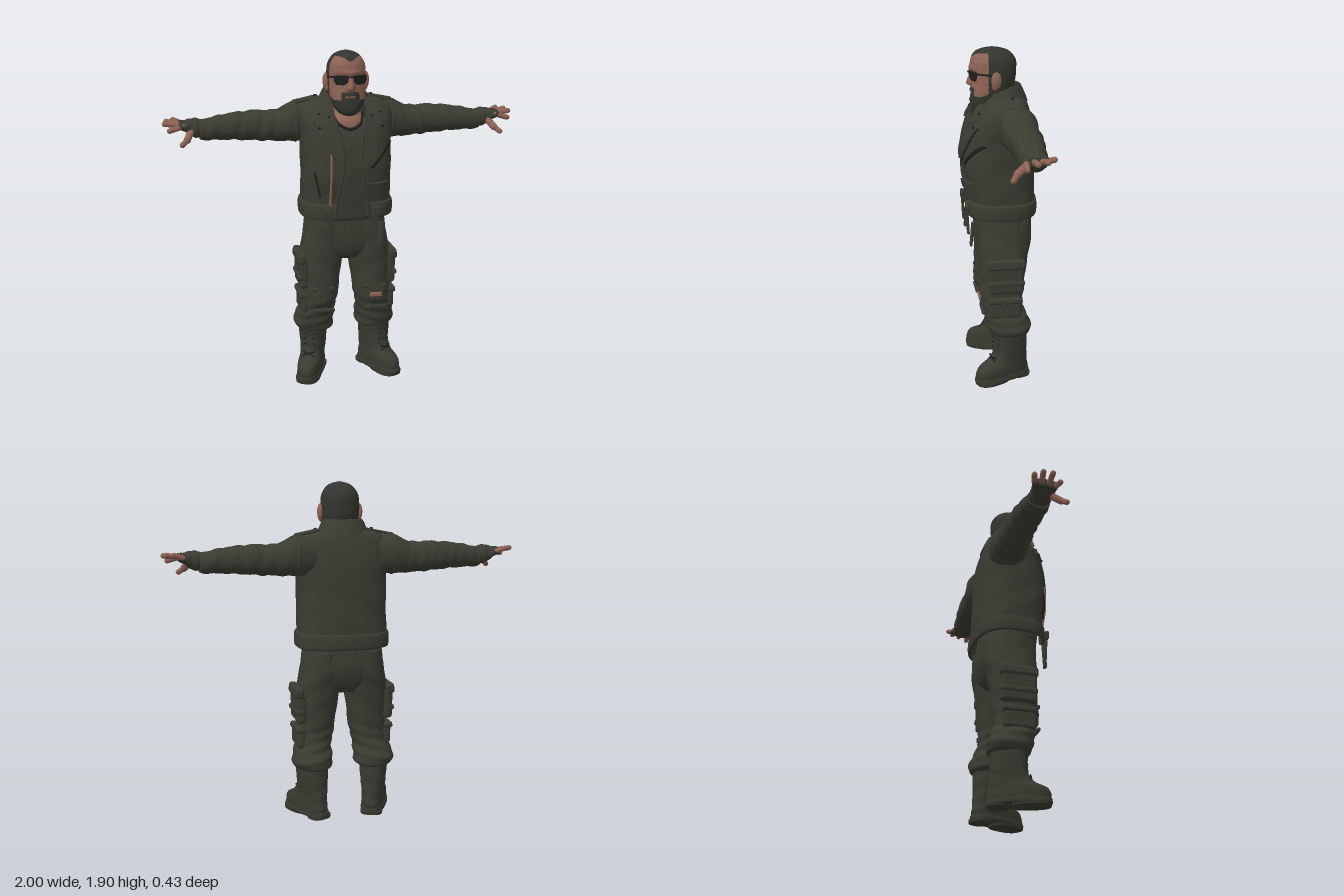
import * as THREE from 'three';
import { mergeGeometries, mergeVertices } from 'three/addons/utils/BufferGeometryUtils.js';
import { RoundedBoxGeometry } from 'three/addons/geometries/RoundedBoxGeometry.js';

const mat = (name, color, side = THREE.FrontSide) => {
  const m = new THREE.MeshStandardMaterial({ color, side });
  m.name = name;
  return m;
};
const V = (x, y, z) => new THREE.Vector3(x, y, z);
const spow = (v, p) => Math.sign(v) * Math.abs(v) ** p;
const bell = (v, w) => Math.exp(-((v / w) ** 2));

// Smooth skin through rows [t, centreU, centreV, radiusU, radiusV, frontGap]
function loft(rows, { axis = 'y', seg = 40, sub = 6, p = 0.9, fold, warp, pick, caps = true } = {}) {
  const open = rows[0].length > 5, cols = open ? seg + 1 : seg;
  const pos = [], buckets = [[], []];
  const n = (rows.length - 1) * sub;
  const put = (t, u, v) => {
    const q = axis === 'y' ? V(u, t, v) : V(t, v, u);
    if (warp) warp(q);
    pos.push(q.x, q.y, q.z);
  };
  const at = (i) => {
    const k = Math.min(Math.floor(i / sub), rows.length - 2), f = i / sub - k;
    const g = (j) => rows[Math.max(0, Math.min(rows.length - 1, j))];
    return rows[0].map((_, c) => {
      const a = g(k - 1)[c], b = g(k)[c], d = g(k + 1)[c], e = g(k + 2)[c];
      return b + 0.5 * f * (d - a + f * (2 * a - 5 * b + 4 * d - e + f * (3 * (b - d) + e - a)));
    });
  };
  for (let i = 0; i <= n; i++) {
    const [t, cu, cv, ru, rv, gap = 0] = at(i);
    const h = open ? Math.PI / 2 - Math.acos(Math.min(0.99, (gap / ru) ** (1 / p))) : 0;
    for (let j = 0; j < cols; j++) {
      const a = Math.PI / 2 + h + (j / seg) * (2 * Math.PI - 2 * h);
      const k = 1 + (fold ? fold(t, a) : 0);
      put(t, cu + k * ru * spow(Math.cos(a), p), cv + k * rv * spow(Math.sin(a), p));
    }
  }
  const tri = (...f) => {
    const c = V(0, 0, 0);
    f.forEach((i) => c.add(V(pos[3 * i], pos[3 * i + 1], pos[3 * i + 2])));
    buckets[pick && pick(c.divideScalar(3)) ? 1 : 0].push(...f);
  };
  for (let i = 0; i < n; i++) for (let j = 0; j < seg; j++) {
    const a = i * cols + j, b = i * cols + (j + 1) % cols, c = a + cols, d = b + cols;
    tri(a, c, b);
    tri(b, c, d);
  }
  if (caps && !open) [0, n].forEach((i) => {
    const [t, cu, cv] = at(i), m = pos.length / 3;
    put(t, cu, cv);
    for (let j = 0; j < seg; j++) {
      const a = i * cols + j, b = i * cols + (j + 1) % cols;
      i ? tri(m, b, a) : tri(m, a, b);
    }
  });
  const g = new THREE.BufferGeometry();
  g.setAttribute('position', new THREE.Float32BufferAttribute(pos, 3));
  g.setIndex([...buckets[0], ...buckets[1]]);
  if (pick) {
    g.addGroup(0, buckets[0].length, 0);
    g.addGroup(buckets[0].length, buckets[1].length, 1);
  }
  g.computeVertexNormals();
  return g;
}

// Small shapes
const capsule = (a, b, r) => {
  const d = b.clone().sub(a), g = new THREE.CapsuleGeometry(r, d.length(), 4, 10);
  g.applyQuaternion(new THREE.Quaternion().setFromUnitVectors(V(0, 1, 0), d.normalize()));
  const c = a.clone().add(b).multiplyScalar(0.5);
  return g.translate(c.x, c.y, c.z);
};
const block = (w, h, d, x, y, z, rx = 0, ry = 0, rz = 0) =>
  new RoundedBoxGeometry(w, h, d, 2, Math.min(w, h, d) * 0.35)
    .applyMatrix4(new THREE.Matrix4().makeRotationFromEuler(new THREE.Euler(rx, ry, rz))).translate(x, y, z);
const ball = (x, y, z, rx, ry, rz) => new THREE.SphereGeometry(1, 20, 14).scale(rx, ry, rz).translate(x, y, z);
const tube = (pts, r) => new THREE.TubeGeometry(new THREE.CatmullRomCurve3(pts), 30, r, 8);
const flip = (geo) => {
  const g = geo.index ? geo.clone() : mergeVertices(geo), ix = g.index.array;
  g.scale(-1, 1, 1);
  for (let i = 0; i < ix.length; i += 3) [ix[i], ix[i + 1]] = [ix[i + 1], ix[i]];
  return g;
};

// Jacket body and the front surface that trims are laid on
const JP = 0.72;
const jacket = [
  [0.99, 0, -0.01, 0.25, 0.185, 0.095], [1.08, 0, -0.012, 0.25, 0.188, 0.085], [1.2, 0, 0, 0.25, 0.197, 0.065],
  [1.32, 0, 0.002, 0.25, 0.195, 0.05], [1.43, 0, -0.007, 0.255, 0.183, 0.06], [1.52, 0, -0.015, 0.262, 0.163, 0.085],
  [1.58, 0, -0.027, 0.258, 0.137, 0.09], [1.615, 0, -0.035, 0.225, 0.115, 0.09], [1.645, 0, -0.03, 0.12, 0.09, 0.09]];
const frontZ = (x, y) => {
  let i = 0;
  while (i < jacket.length - 2 && jacket[i + 1][0] < y) i++;
  const f = (y - jacket[i][0]) / (jacket[i + 1][0] - jacket[i][0]);
  const [, , cz, rx, rz] = jacket[i].map((v, c) => v + f * (jacket[i + 1][c] - v));
  const c = Math.min(1, Math.abs(x) / rx) ** (1 / JP);
  return cz + rz * Math.sqrt(1 - c * c) ** JP;
};
// Four-cornered panel draped over the jacket front
const drape = (c, thick, off = 0) => {
  const g = new THREE.BoxGeometry(1, 1, 1, 8, 8, 1), P = g.attributes.position;
  for (let i = 0; i < P.count; i++) {
    const u = P.getX(i) + 0.5, v = P.getY(i) + 0.5, w = P.getZ(i) + 0.5;
    const mix = (k) => (1 - v) * ((1 - u) * c[0][k] + u * c[1][k]) + v * ((1 - u) * c[3][k] + u * c[2][k]);
    P.setXYZ(i, mix(0), mix(1), frontZ(mix(0), mix(1)) + off - 0.006 + w * (thick + 0.006));
  }
  g.computeVertexNormals();
  return g;
};

export function createModel() {
  const cloth = mat('dark olive cloth', 0x3a3b31, THREE.DoubleSide);
  const leather = mat('boot leather', 0x38392f);
  const hair = mat('dark hair', 0x333530);
  const skin = mat('skin', 0x8d6354);
  const glass = mat('dark glass', 0x1d1e1f);
  const root = new THREE.Group();
  root.name = 'figure';
  const add = (name, geo, m, parent = root) => {
    const mesh = new THREE.Mesh(geo, m);
    mesh.name = name;
    parent.add(mesh);
  };

  // Head with hair and beard as material regions
  const isHair = ({ x, y, z }) => {
    const ax = Math.abs(x);
    const scalp = y > 1.66 && (z < 0.06 || y > 1.874 - 0.025 * bell(x, 0.03));
    const beard = z > 0.035 && y < 1.642 + 0.45 * Math.max(0, 0.1 - z);
    const mouth = z > 0.1 && ax < 0.05 && y < 1.688 && !(ax < 0.028 && y > 1.652 && y < 1.667);
    return scalp || beard || mouth;
  };
  add('head', loft([
    [1.555, 0, 0.085, 0.03, 0.04], [1.572, 0, 0.08, 0.058, 0.065], [1.61, 0, 0.064, 0.084, 0.086],
    [1.66, 0, 0.036, 0.1, 0.11], [1.72, 0, 0.022, 0.105, 0.118], [1.78, 0, 0.022, 0.106, 0.124],
    [1.83, 0, 0.024, 0.099, 0.124], [1.87, 0, 0.028, 0.075, 0.1], [1.89, 0, 0.03, 0.045, 0.062], [1.901, 0, 0.03, 0.004, 0.004]],
  { seg: 96, sub: 9, p: 0.92, pick: isHair, warp: (q) => {
    if (q.z < 0.08) return;
    const nose = q.y < 1.705 ? bell(q.y - 1.705, 0.012) : bell(q.y - 1.705, 0.05);
    q.z += 0.032 * bell(q.x, 0.019) * nose + 0.01 * bell(q.y - 1.79, 0.014) * bell(q.x, 0.07);
    q.z -= 0.014 * bell(q.y - 1.755, 0.018) * bell(Math.abs(q.x) - 0.045, 0.025);
    q.z += 0.008 * bell(q.y - 1.67, 0.012) * bell(q.x, 0.035);
  } }), [skin, hair]);
  add('neck', loft([[1.44, 0, 0.04, 0.11, 0.09], [1.52, 0, 0.035, 0.1, 0.085], [1.57, 0, 0.01, 0.08, 0.08], [1.68, 0, 0, 0.075, 0.075]]), skin);
  add('necklace', tube([V(-0.085, 1.56, 0.06), V(-0.06, 1.51, 0.125), V(0, 1.485, 0.15), V(0.06, 1.51, 0.125), V(0.085, 1.56, 0.06)], 0.008), glass);
  add('glassesBridge', block(0.03, 0.008, 0.01, 0, 1.768, 0.158), glass);

  // Shirt, jacket shell, hem band, collar
  add('shirt', loft([[0.97, 0, -0.005, 0.21, 0.155], [1.2, 0, 0, 0.2, 0.168], [1.35, 0, 0, 0.2, 0.165],
    [1.45, 0, 0, 0.2, 0.143], [1.51, 0, 0.01, 0.16, 0.108]], { p: 0.8, fold: (t, a) => 0.01 * Math.sin(40 * t + 5 * a) }), cloth);
  add('jacketBody', loft(jacket, { seg: 72, p: JP, fold: (t, a) => 0.008 * Math.sin(34 * t + 3 * Math.sin(2 * a)) * (t < 1.5) }), cloth);
  add('jacketHem', loft([[0.985, 0, -0.01, 0.25, 0.185, 0.1], [0.99, 0, -0.01, 0.262, 0.2, 0.1], [1.03, 0, -0.01, 0.265, 0.203, 0.1],
    [1.066, 0, -0.01, 0.262, 0.199, 0.095], [1.074, 0, -0.01, 0.25, 0.187, 0.095]], { seg: 64, p: JP }), cloth);
  add('standingCollar', loft([[1.6, 0, -0.025, 0.135, 0.115, 0.1], [1.65, 0, -0.022, 0.122, 0.108, 0.095], [1.69, 0, -0.02, 0.108, 0.098, 0.085],
    [1.695, 0, -0.02, 0.117, 0.108, 0.09], [1.64, 0, -0.025, 0.142, 0.128, 0.1], [1.605, 0, -0.028, 0.155, 0.138, 0.1]],
  { p: 1, sub: 3, warp: (q) => { q.y -= Math.max(0, q.z + 0.06) * 0.4; } }), cloth);

  // Trouser seat and fly
  add('trouserSeat', loft([[0.73, 0, -0.015, 0.11, 0.1], [0.78, 0, -0.018, 0.2, 0.135], [0.86, 0, -0.024, 0.235, 0.153],
    [0.94, 0, -0.024, 0.232, 0.152], [1.03, 0, -0.02, 0.22, 0.145]], { p: 0.82 }), cloth);
  add('trouserFly', block(0.04, 0.16, 0.012, 0.008, 0.9, 0.129), cloth);

  for (const s of [1, -1]) {
    const half = new THREE.Group();
    half.name = s > 0 ? 'leftSide' : 'rightSide';
    root.add(half);
    const put = (name, geo, m) => add(name, s > 0 ? geo : flip(geo), m, half);

    // Face details
    put('ear', mergeGeometries([ball(0.114, 1.735, 0.02, 0.015, 0.046, 0.028), ball(0.108, 1.7, 0.027, 0.012, 0.02, 0.016)]), skin);
    const lens = new THREE.Shape([[0.008, 0.022], [0.085, 0.026], [0.092, 0], [0.078, -0.024], [0.035, -0.026], [0.014, -0.012]].map((q) => new THREE.Vector2(...q)));
    put('glassesLens', new THREE.ExtrudeGeometry(lens, { depth: 0.008, bevelEnabled: false }).rotateY(0.35).translate(0.003, 1.751, 0.152), glass);
    put('glassesArm', capsule(V(0.09, 1.768, 0.122), V(0.113, 1.758, 0.02), 0.005), glass);

    // Lapels, placket edge, trims
    put('lapel', drape([[0.05, 1.27], [0.12, 1.37], [0.2, 1.5], [0.085, 1.56]], 0.014, 0.004), cloth);
    put('collarLeaf', drape([[0.09, 1.5], [0.19, 1.535], [0.15, 1.61], [0.09, 1.61]], 0.016, 0.012), cloth);
    put('placket', tube([1, 1.08, 1.2, 1.32, 1.43, 1.52].map((y, i) => V([0.095, 0.085, 0.065, 0.05, 0.06, 0.085][i], y, frontZ(0.07, y) - 0.004)), 0.011), cloth);
    put('lapelStuds', mergeGeometries([[0.175, 1.5], [0.12, 1.555], [0.17, 1.57]].map(([x, y]) => ball(x, y, frontZ(x, y) + 0.024, 0.008, 0.008, 0.006))), glass);
    put('epaulette', block(0.13, 0.014, 0.075, 0.205, 1.627, -0.06, 0, 0, -0.2), cloth);
    put('epauletteStud', ball(0.16, 1.645, -0.06, 0.009, 0.007, 0.009), glass);
    if (s > 0) {
      put('chestZip', drape([[0.1, 1.28], [0.11, 1.27], [0.24, 1.4], [0.23, 1.41]], 0.01), glass);
      put('jacketPocket', drape([[0.085, 1.09], [0.195, 1.09], [0.2, 1.17], [0.075, 1.17]], 0.016), cloth);
      put('jacketPocketFlap', drape([[0.085, 1.15], [0.2, 1.14], [0.205, 1.19], [0.075, 1.19]], 0.024), cloth);
    } else {
      put('copperZip', drape([[0.117, 1.05], [0.127, 1.05], [0.122, 1.36], [0.114, 1.36]], 0.009), skin);
      put('sidePocketZip', drape([[0.17, 1.12], [0.18, 1.12], [0.21, 1.26], [0.2, 1.26]], 0.008), glass);
    }
    put('hangingStraps', mergeGeometries([block(0.032, 0.16, 0.014, 0.13, 0.96, 0.185, 0.05, 0, 0.03),
      block(0.036, 0.14, 0.014, 0.165, 0.89, 0.165, -0.08, 0, -0.05), block(0.05, 0.05, 0.02, 0.14, 1.03, 0.187)]), cloth);

    // Sleeve with folds
    const sleeveFold = (t, a) => Math.min(1, Math.max(0, (t - 0.27) * 8)) * (0.03 * Math.sin(62 * t + 2 * Math.sin(a)) + 0.018 * Math.sin(105 * t + 2 * a));
    put('sleeve', loft([[0.18, -0.07, 1.5, 0.095, 0.105], [0.27, -0.073, 1.505, 0.102, 0.112], [0.38, -0.078, 1.484, 0.094, 0.087],
      [0.5, -0.082, 1.488, 0.086, 0.083], [0.65, -0.075, 1.487, 0.077, 0.071], [0.77, -0.07, 1.477, 0.068, 0.058], [0.8, -0.068, 1.478, 0.062, 0.054]],
    { axis: 'x', sub: 14, fold: sleeveFold }), cloth);
    put('armholeSeam', new THREE.TorusGeometry(0.107, 0.008, 8, 40).rotateY(Math.PI / 2).scale(1, 1.03, 0.96).translate(0.272, 1.505, -0.073), cloth);

    // Fingerless glove, fingers, thumb
    put('glove', loft([[0.78, -0.066, 1.484, 0.05, 0.044], [0.81, -0.066, 1.488, 0.059, 0.053], [0.845, -0.066, 1.492, 0.058, 0.048],
      [0.88, -0.066, 1.502, 0.068, 0.03], [0.91, -0.066, 1.508, 0.068, 0.022]], { axis: 'x', fold: (t) => 0.03 * Math.sin(170 * t) }), cloth);
    put('fingers', mergeGeometries([[-0.122, -0.138, 0.938, 1.525], [-0.085, -0.103, 0.975, 1.523], [-0.047, -0.055, 0.985, 1.517], [-0.012, -0.008, 0.962, 1.487]]
      .map(([z0, z1, x, y]) => capsule(V(0.89, 1.507, z0), V(x, y, z1), 0.015))), skin);
    put('thumb', mergeGeometries([capsule(V(0.85, 1.475, -0.02), V(0.872, 1.44, 0.025), 0.02), capsule(V(0.872, 1.44, 0.025), V(0.9, 1.418, 0.047), 0.015)]), skin);

    // Trouser leg with heavy folds towards the cuff
    const legFold = (t, a) => 0.03 * bell(t - 0.4, 0.12) * Math.sin(95 * t + 2.5 * Math.cos(a)) + 0.012 * Math.sin(45 * t + 3 * a);
    put('trouserLeg', loft([[0.285, 0.175, -0.045, 0.085, 0.1], [0.3, 0.178, -0.045, 0.108, 0.118], [0.345, 0.182, -0.042, 0.114, 0.125],
      [0.42, 0.17, -0.015, 0.103, 0.117], [0.5, 0.155, 0, 0.105, 0.123], [0.62, 0.148, -0.008, 0.113, 0.127],
      [0.75, 0.138, -0.016, 0.122, 0.138], [0.86, 0.122, -0.024, 0.118, 0.15], [0.97, 0.11, -0.024, 0.11, 0.148]],
    { sub: 12, fold: legFold }), cloth);
    put('cargoPockets', mergeGeometries([block(0.055, 0.17, 0.2, 0.253, 0.645, -0.015, 0, 0, -0.02), block(0.05, 0.06, 0.215, 0.265, 0.735, -0.015, 0, 0, 0.12),
      block(0.05, 0.03, 0.205, 0.263, 0.625, -0.015), block(0.05, 0.1, 0.18, 0.25, 0.46, -0.01), block(0.05, 0.035, 0.19, 0.259, 0.515, -0.01, 0, 0, 0.12)]), cloth);
    put('kneeSeams', mergeGeometries([0.56, 0.43].map((y) => block(0.14, 0.022, 0.02, 0.155, y, 0.108))), cloth);
    if (s > 0) put('tornKnee', block(0.07, 0.026, 0.016, 0.155, 0.51, 0.123), skin);

    // Boot, turned outward
    const turn = (g) => g.rotateY(0.42).translate(0.205, 0, 0);
    put('boot', turn(loft([[0.03, 0, 0, 0.066, 0.164], [0.06, 0, 0, 0.069, 0.167], [0.095, 0, -0.005, 0.068, 0.157], [0.125, 0, -0.034, 0.067, 0.125],
      [0.165, 0, -0.05, 0.07, 0.105], [0.23, 0, -0.053, 0.076, 0.1], [0.29, 0, -0.05, 0.08, 0.1], [0.33, 0, -0.05, 0.078, 0.096]],
    { p: 0.85, fold: (t, a) => 0.01 * Math.sin(80 * t + 2 * a) })), leather);
    put('bootSole', turn(mergeGeometries([
      loft([[0.012, 0, 0, 0.071, 0.171], [0.022, 0, 0, 0.073, 0.174], [0.04, 0, 0, 0.071, 0.171]], { p: 0.8 }),
      loft([[0, 0, 0.065, 0.068, 0.102], [0.02, 0, 0.065, 0.07, 0.105]], { p: 0.75 }),
      loft([[0, 0, -0.115, 0.062, 0.055], [0.02, 0, -0.115, 0.064, 0.057]], { p: 0.7 })])), leather);
    const laces = [];
    for (let i = 0; i < 5; i++) {
      const y = 0.135 + i * 0.033, z = i ? 0.048 : 0.075;
      for (const d of [1, -1]) laces.push(capsule(V(-0.03 * d, y, z - 0.006), V(0.03 * d, y + 0.024, z - 0.012), 0.005));
    }
    put('laces', turn(mergeGeometries(laces)), glass);
  }
  return root;
}
